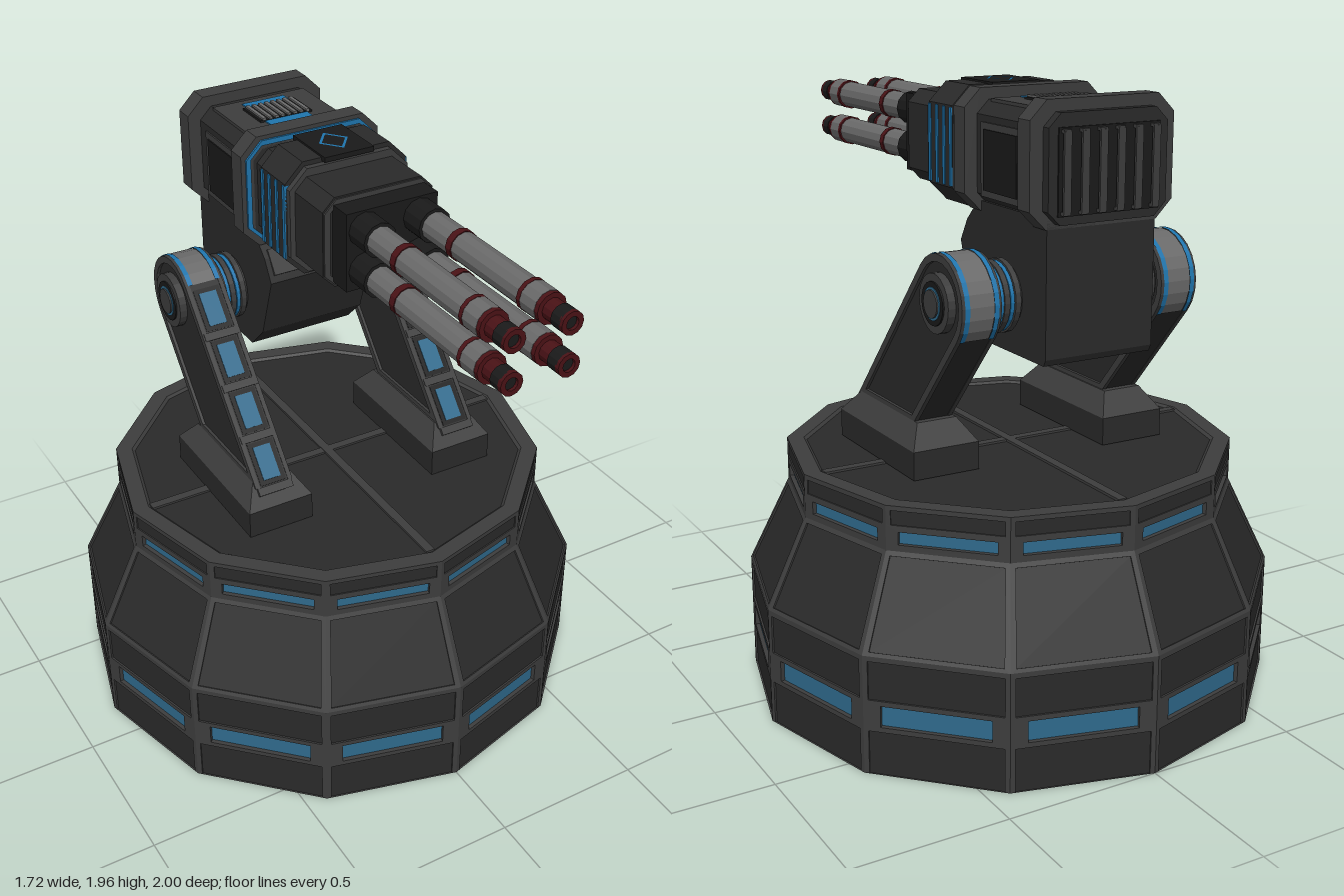
import * as THREE from 'three';
import { mergeGeometries } from 'three/addons/utils/BufferGeometryUtils.js';

const mat = (color) => new THREE.MeshStandardMaterial({ color, flatShading: true, side: THREE.DoubleSide });
const M = {
  body: mat(0x2a2a2a), trim: mat(0x3d3d3d), dark: mat(0x1a1a1a), steel: mat(0x6a6a6a),
  glass: mat(0x2f6a8c), glow: mat(0x1f75ad), red: mat(0x4a1216),
};

function add(parent, name, geo, m, x = 0, y = 0, z = 0) {
  const mesh = new THREE.Mesh(geo, m);
  mesh.name = name;
  mesh.position.set(x, y, z);
  parent.add(mesh);
  return mesh;
}
// Box given by its extents
const box = (p, name, m, x0, x1, y0, y1, z0, z1) => add(p, name,
  new THREE.BoxGeometry(x1 - x0, y1 - y0, z1 - z0), m, (x0 + x1) / 2, (y0 + y1) / 2, (z0 + z1) / 2);

// Side profile of [z, y] points, extruded from x0 to x1
function prism(pts, x0, x1, hole) {
  const v = (a) => a.map(([z, y]) => new THREE.Vector2(-z, y));
  const s = new THREE.Shape(v(pts));
  if (hole) s.holes.push(new THREE.Path(v(hole)));
  return new THREE.ExtrudeGeometry(s, { depth: x1 - x0, bevelEnabled: false })
    .rotateY(Math.PI / 2).translate(x0, 0, 0);
}

// Front outline with cut corners, extruded from z0 to z1; rim > 0 leaves only a ring
function octagon(w, y0, y1, c, z0, z1, rim = 0) {
  const ring = (i) => [[w - i, y0 + c], [w - i, y1 - c], [w - c, y1 - i], [c - w, y1 - i],
    [i - w, y1 - c], [i - w, y0 + c], [c - w, y0 + i], [w - c, y0 + i]].map((p) => new THREE.Vector2(...p));
  const s = new THREE.Shape(ring(0));
  if (rim) s.holes.push(new THREE.Path(ring(rim)));
  return new THREE.ExtrudeGeometry(s, { depth: z1 - z0, bevelEnabled: false }).translate(0, 0, z0);
}

const cylX = (r, len, n = 24) => new THREE.CylinderGeometry(r, r, len, n).rotateZ(Math.PI / 2);
const cylZ = (r, len, n = 12) => new THREE.CylinderGeometry(r, r, len, n).rotateX(Math.PI / 2);

function quad(a, b, c, d) {
  const g = new THREE.BufferGeometry();
  g.setAttribute('position', new THREE.Float32BufferAttribute([a, b, c, a, c, d].flatMap((p) => p.toArray()), 3));
  g.computeVertexNormals();
  return g;
}

// Twelve-sided open hull: every facet is a frame with a recessed panel or window
function makeBase() {
  const base = new THREE.Group();
  base.name = 'base';
  base.position.z = -0.14;
  // y0, r0, y1, r1, side margin, lower margin, upper margin, recess, panel material
  const rows = [
    [0, 0.86, 0.14, 0.86, 0.035, 0, 0, 0.006, 'body'],
    [0.14, 0.86, 0.24, 0.86, 0.12, 0.16, 0.16, 0.014, 'glass'],
    [0.24, 0.86, 0.38, 0.86, 0.035, 0, 0.12, 0.006, 'body'],
    [0.38, 0.86, 0.66, 0.725, 0.04, 0.04, 0.05, 0.006, 'body'],
    [0.66, 0.725, 0.74, 0.725, 0.1, 0.25, 0.25, 0.014, 'glass'],
    [0.74, 0.725, 0.8, 0.725, 0.04, 0, 0.25, 0.004, 'body'],
  ];
  const parts = { trim: [], body: [], glass: [] };
  for (let i = 0; i < 12; i++) {
    const a0 = i * Math.PI / 6, a1 = a0 + Math.PI / 6;
    const at = (r, y, a) => new THREE.Vector3(r * Math.sin(a), y, r * Math.cos(a));
    for (const [y0, r0, y1, r1, m, lo, hi, depth, key] of rows) {
      const A = at(r0, y0, a0), B = at(r0, y0, a1), C = at(r1, y1, a1), D = at(r1, y1, a0);
      const n = B.clone().sub(A).cross(D.clone().sub(A)).normalize();
      const P = (u, v) => A.clone().lerp(B, u).lerp(D.clone().lerp(C, u), v);
      const inner = [P(m, lo), P(1 - m, lo), P(1 - m, 1 - hi), P(m, 1 - hi)];
      const floor = inner.map((p) => p.clone().addScaledVector(n, -depth));
      const outer = [A, B, C, D];
      for (let k = 0; k < 4; k++) {
        const j = (k + 1) % 4;
        parts.trim.push(quad(outer[k], outer[j], inner[j], inner[k]), quad(inner[k], inner[j], floor[j], floor[k]));
      }
      parts[key].push(quad(...floor));
    }
    // Roof rim and slightly sunken roof panel
    parts.trim.push(quad(at(0.725, 0.8, a0), at(0.725, 0.8, a1), at(0.67, 0.8, a1), at(0.67, 0.8, a0)),
      quad(at(0.67, 0.8, a0), at(0.67, 0.8, a1), at(0.66, 0.792, a1), at(0.66, 0.792, a0)));
  }
  for (const key in parts) add(base, 'hull ' + key, mergeGeometries(parts[key]), M[key]);
  add(base, 'roof panel', new THREE.CircleGeometry(0.66, 12).rotateX(-Math.PI / 2), M.body, 0, 0.792, 0);
  box(base, 'roof rib', M.trim, -0.015, 0.015, 0.785, 0.8, -0.66, 0.66);
  box(base, 'roof rib', M.trim, -0.66, 0.66, 0.785, 0.799, -0.015, 0.015);
  return base;
}

// Slanted support arm with foot and pivot, on the +x side
const PIVOT = [-0.43, 1.36], TILT = 0.72;
function armOutline(r, yBottom) {
  const pts = [], [pz, py] = PIVOT, slope = Math.tan(TILT);
  for (let i = 0; i <= 12; i++) {
    const a = Math.PI / 2 - TILT + i * Math.PI / 12 - (Math.PI / 2 - TILT) + TILT;
    pts.push([pz + r * Math.cos(a), py + r * Math.sin(a)]);
  }
  const drop = ([z, y]) => [z + (y - yBottom) * slope, yBottom];
  return [drop(pts[0]), ...pts, drop(pts[12])];
}
function makeArm() {
  const arm = new THREE.Group();
  arm.name = 'arm';
  box(arm, 'foot', M.body, 0.23, 0.455, 0.795, 0.885, -0.35, 0.17);
  const top = new THREE.BoxGeometry(0.225, 0.07, 0.52);
  const p = top.attributes.position;
  for (let i = 0; i < p.count; i++) if (p.getY(i) > 0) p.setXYZ(i, p.getX(i) * 0.6, p.getY(i), p.getZ(i) * 0.76);
  add(arm, 'foot taper', top, M.trim, 0.3425, 0.92, -0.09);
  add(arm, 'arm core', prism(armOutline(0.143, 0.94), 0.29, 0.4), M.body);
  for (const x of [0.28, 0.395])
    add(arm, 'arm border', prism(armOutline(0.145, 0.94), x, x + 0.015, armOutline(0.122, 0.97)), M.trim);

  // Lit cells down the front edge and bands over the rounded end
  const edge = new THREE.Group();
  edge.name = 'armEdge';
  edge.position.set(0.345, PIVOT[1], PIVOT[0]);
  edge.rotation.x = -TILT;
  arm.add(edge);
  for (let i = 0; i < 4; i++) {
    const y = -0.088 - i * 0.174;
    box(edge, 'cell frame', M.dark, -0.045, 0.045, y - 0.07, y + 0.07, 0.13, 0.1445);
    box(edge, 'cell light', M.glass, -0.03, 0.03, y - 0.055, y + 0.055, 0.13, 0.147);
    box(edge, 'cell divider', M.trim, -0.06, 0.06, y - 0.1, y - 0.074, 0.13, 0.148);
  }
  const band = (x, r, w, m) => add(edge, 'end band',
    new THREE.CylinderGeometry(r, r, w, 12, 1, true, 0, Math.PI).rotateZ(Math.PI / 2).rotateX(0), m, x, 0, 0);
  band(0, 0.146, 0.08, M.steel);
  for (const x of [-0.048, 0.048]) band(x, 0.148, 0.016, M.glow);

  // Pivot: outer cap and inner axle with lit rings
  const disc = (name, r, x0, x1, m) => add(arm, name, cylX(r, x1 - x0), m, (x0 + x1) / 2, PIVOT[1], PIVOT[0]);
  disc('pivot cap', 0.09, 0.4, 0.425, M.trim);
  disc('pivot ring', 0.066, 0.4, 0.43, M.dark);
  disc('pivot light', 0.05, 0.4, 0.432, M.glass);
  disc('pivot hub', 0.042, 0.4, 0.437, M.trim);
  disc('axle', 0.1, 0.17, 0.29, M.body);
  for (const x of [0.195, 0.232, 0.262]) disc('axle ring', 0.112, x, x + 0.018, M.trim);
  for (const x of [0.215, 0.25]) disc('axle light', 0.107, x, x + 0.012, M.glow);
  return arm;
}

function makeHead() {
  const head = new THREE.Group();
  head.name = 'head';
  // Mount block hung between the arms
  add(head, 'mount', prism([[-0.27, 1.62], [-0.2, 1.55], [-0.16, 1.48], [-0.23, 1.27], [-0.31, 1.19],
    [-0.65, 1.19], [-0.66, 1.21], [-0.66, 1.62]], -0.185, 0.185), M.body);
  for (const x of [-0.118, 0, 0.118])
    add(head, 'mount panel', new THREE.BoxGeometry(0.1, 0.085, 0.02), M.trim, x, 1.535, -0.196).rotation.x = -0.6;

  // Housing, collar and end ridges
  add(head, 'rear housing', octagon(0.2, 1.605, 1.92, 0.04, -0.69, -0.225), M.body);
  add(head, 'front housing', octagon(0.188, 1.62, 1.91, 0.04, -0.23, 0.18), M.body);
  add(head, 'collar', octagon(0.21, 1.58, 1.95, 0.06, -0.155, -0.005), M.body);
  add(head, 'collar flange', octagon(0.205, 1.595, 1.935, 0.06, -0.175, 0.015), M.trim);
  for (const z of [-0.29, -0.66]) add(head, 'ridge', octagon(0.243, 1.59, 1.955, 0.055, z, z + 0.065), M.trim);
  add(head, 'ridge light', octagon(0.228, 1.605, 1.942, 0.055, -0.226, -0.218, 0.016), M.glow);
  box(head, 'muzzle block', M.dark, -0.155, 0.155, 1.64, 1.89, 0.17, 0.26);
  add(head, 'muzzle rim', octagon(0.185, 1.625, 1.905, 0.04, 0.17, 0.186, 0.02), M.trim);

  // Side panels and collar light strips
  for (const s of [-1, 1]) {
    const side = (name, m, x, y0, y1, z0, z1) => box(head, name, m, s * x - 0.01, s * x + 0.01, y0, y1, z0, z1);
    side('side frame', M.trim, 0.195, 1.64, 1.86, -0.55, -0.32);
    side('side panel', M.dark, 0.199, 1.66, 1.84, -0.53, -0.34);
    for (const z of [-0.012, -0.058, -0.103, -0.146]) side('collar strip', M.glow, 0.204, 1.645, 1.885, z - 0.007, z + 0.007);
  }

  // Top plates, vent slats and diamond light
  box(head, 'vent plate', M.trim, -0.165, 0.165, 1.91, 1.925, -0.57, -0.31);
  box(head, 'vent bed', M.glow, -0.075, 0.075, 1.91, 1.929, -0.54, -0.33);
  box(head, 'vent cover', M.dark, -0.092, 0.092, 1.91, 1.932, -0.5, -0.38);
  for (let i = 0; i < 8; i++) {
    const x = -0.077 + i * 0.022;
    box(head, 'vent slat', M.steel, x - 0.006, x + 0.006, 1.92, 1.938, -0.5, -0.38);
  }
  box(head, 'top plate', M.dark, -0.085, 0.085, 1.94, 1.956, -0.18, 0.015);
  const diamond = new THREE.RingGeometry(0.045, 0.056, 4).rotateX(-Math.PI / 2).scale(0.9, 1, 1.15);
  add(head, 'diamond light', diamond, M.glow, 0, 1.9575, -0.082);

  // Rear grille of standing bars
  box(head, 'grille bed', M.dark, -0.17, 0.17, 1.63, 1.88, -0.695, -0.68);
  for (let i = 0; i < 6; i++) {
    const x = -0.15 + i * 0.06;
    box(head, 'grille bar', M.trim, x - 0.012, x + 0.012, 1.64, 1.87, -0.712, -0.704);
    for (const y of [1.635, 1.865]) box(head, 'grille bar end', M.trim, x - 0.012, x + 0.012, y, y + 0.01, -0.71, -0.685);
  }
  return head;
}

// One barrel along z; r, z0, z1, material
function makeBarrel(x, y) {
  const barrel = new THREE.Group();
  barrel.name = 'barrel';
  barrel.position.set(x, y, 0);
  const segments = [
    [0.055, 0.25, 0.345, 'dark'], [0.045, 0.34, 0.82, 'steel'], [0.048, 0.47, 0.495, 'red'],
    [0.049, 0.83, 0.895, 'steel'], [0.05, 0.815, 0.83, 'red'], [0.048, 0.895, 0.91, 'red'],
    [0.033, 0.91, 0.96, 'red'], [0.036, 0.95, 0.99, 'dark'],
  ];
  for (const [r, z0, z1, m] of segments) add(barrel, 'barrel section', cylZ(r, z1 - z0), M[m], 0, 0, (z0 + z1) / 2);
  // Open muzzle
  const tip = [[0.02, 0.985], [0.02, 1], [0.036, 1], [0.036, 0.985]].map((p) => new THREE.Vector2(...p));
  add(barrel, 'muzzle', new THREE.LatheGeometry(tip, 12).rotateX(Math.PI / 2), M.red);
  return barrel;
}

export function createModel() {
  const model = new THREE.Group();
  model.name = 'turret';
  model.add(makeBase(), makeHead());
  const left = makeArm(), right = makeArm();
  right.scale.x = -1;
  model.add(left, right);
  for (const x of [-0.092, 0.092]) for (const y of [1.702, 1.83]) model.add(makeBarrel(x, y));
  return model;
}
